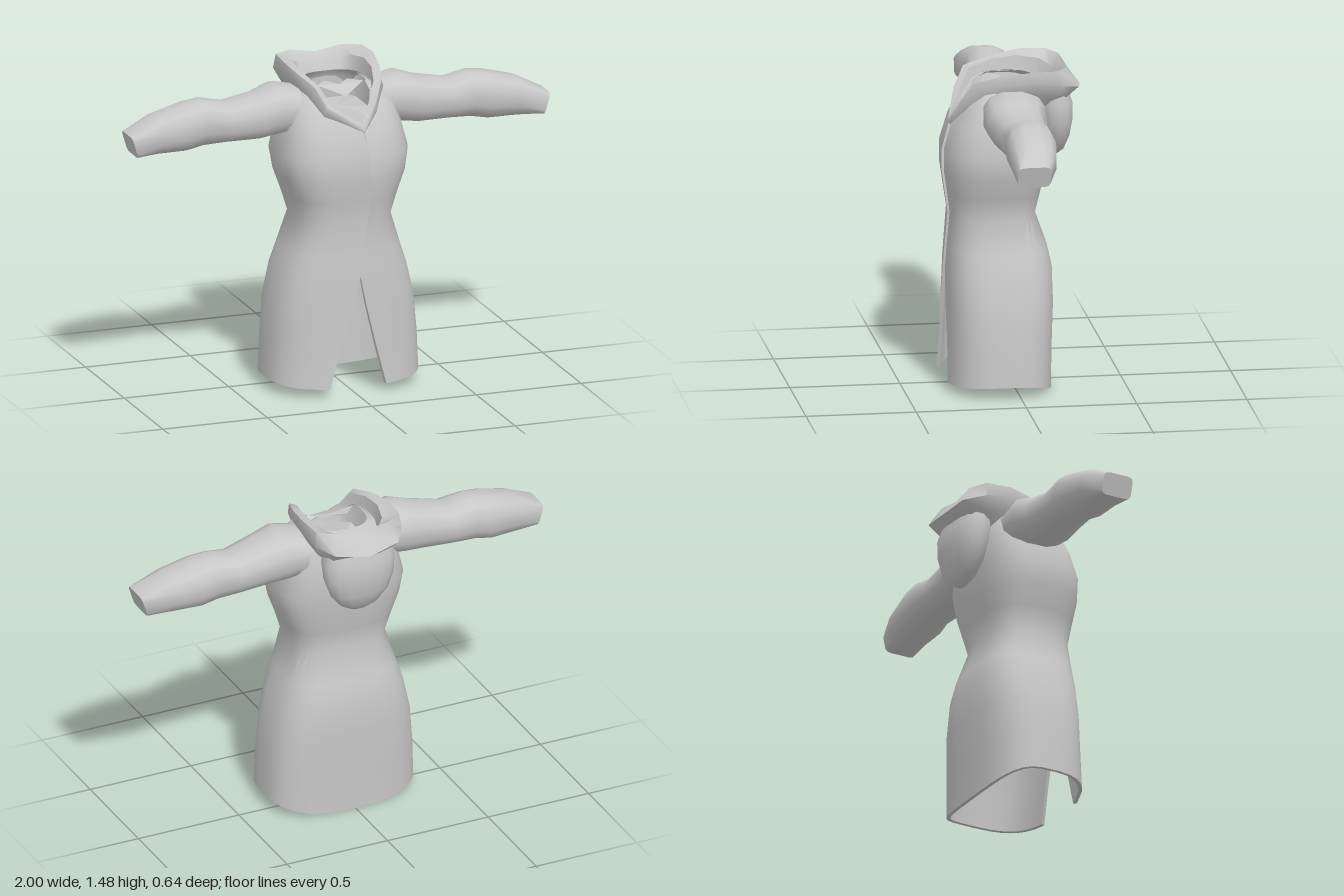
import * as THREE from 'three';
import { toCreasedNormals } from 'three/addons/utils/BufferGeometryUtils.js';

const cloth = new THREE.MeshStandardMaterial({ color: 0xc8c8c8, side: THREE.DoubleSide });
cloth.name = 'greyCloth';

// Skins a list of closed rings of [x, y, z]; optionally joins last to first or caps the ends.
function loft(name, rings, { loop = false, capStart = false, capEnd = false, crease = 0.8 } = {}) {
  const n = rings[0].length, index = [], pos = rings.flat(2);
  const last = loop ? rings.length : rings.length - 1;
  for (let i = 0; i < last; i++) {
    const k = (i + 1) % rings.length;
    for (let j = 0; j < n; j++) {
      const m = (j + 1) % n;
      const a = i * n + j, b = i * n + m, c = k * n + m, d = k * n + j;
      index.push(a, b, c, a, c, d);
    }
  }
  const cap = (i, flip) => {
    const ring = rings[i], c = pos.length / 3;
    pos.push(...[0, 1, 2].map(q => ring.reduce((s, p) => s + p[q], 0) / n));
    for (let j = 0; j < n; j++) {
      const a = i * n + j, b = i * n + (j + 1) % n;
      index.push(c, flip ? b : a, flip ? a : b);
    }
  };
  if (capStart) cap(0, true);
  if (capEnd) cap(rings.length - 1, false);
  const g = new THREE.BufferGeometry();
  g.setAttribute('position', new THREE.Float32BufferAttribute(pos, 3));
  g.setIndex(index);
  const mesh = new THREE.Mesh(toCreasedNormals(g, crease), cloth);
  mesh.name = name;
  return mesh;
}

const power = (v, p) => Math.sign(v) * Math.abs(v) ** p;

// Coat shell with thickness, open along the front edges.
function coatBody() {
  const P = 0.68, ZC = 0.05, COLS = 32, T = 0.016;
  // y, half width, front z, back z, left edge x, right edge x
  const rows = [
    [0.0, 0.357, 0.31, -0.168, 0.142, -0.132],
    [0.2, 0.35, 0.302, -0.172, 0.095, -0.08],
    [0.4, 0.334, 0.302, -0.18, 0.05, -0.025],
    [0.55, 0.3, 0.298, -0.177, 0.02, 0.018],
    [0.65, 0.267, 0.293, -0.155, 0.032, 0.032],
    [0.8, 0.222, 0.284, -0.102, 0.055, 0.055],
    [0.9, 0.252, 0.298, -0.125, 0.066, 0.066],
    [1.0, 0.288, 0.312, -0.143, 0.066, 0.066],
    [1.1, 0.305, 0.31, -0.158, 0.06, 0.06],
    [1.22, 0.275, 0.275, -0.16, 0.048, 0.042],
    [1.3, 0.25, 0.225, -0.15, 0.1, -0.09],
    [1.37, 0.205, 0.175, -0.13, 0.13, -0.13],
    [1.4, 0.145, 0.14, -0.11, 0.13, -0.13],
  ];
  const angle = (x, w) => Math.asin(power(x / w, 1 / P));
  const shell = rows.map(([y, w, zf, zb, eL, eR]) => {
    const a0 = angle(eL, w), a1 = Math.PI * 2 + angle(eR, w);
    const side = t => Array.from({ length: COLS + 1 }, (_, j) => {
      const a = a0 + (a1 - a0) * j / COLS, c = Math.cos(a), s = Math.sin(a);
      const depth = (c > 0 ? zf - ZC : ZC - zb) - t;
      // hem dips at the front and back; the overlapping edge stands proud
      const hem = 0.055 - (c > 0 ? 0.02 : 0.055) * c * c;
      const lip = j === COLS && y < 1.25 ? 0.01 : 0;
      return [(w - t) * power(s, P), y + hem * Math.max(0, 1 - y / 0.4), ZC + depth * power(c, P) + lip];
    });
    return [...side(0), ...side(T).reverse()];
  });
  // first ring closes the hem between outer and inner faces
  const hemRing = shell[0].map((_, j) => shell[0][shell[0].length - 1 - j]);
  return loft('coatBody', [hemRing.map((p, j) => j <= COLS ? p : shell[0][j]), ...shell], { crease: 0.75 });
}

function sleeve(side) {
  // x, bottom y, top y, back z, front z
  const rows = [
    [0.17, 1.2, 1.385, -0.11, 0.15],
    [0.29, 1.185, 1.41, -0.122, 0.168],
    [0.38, 1.172, 1.38, -0.1, 0.158],
    [0.53, 1.167, 1.348, -0.1, 0.128],
    [0.64, 1.16, 1.37, -0.1, 0.115],
    [0.72, 1.145, 1.36, -0.105, 0.125],
    [0.86, 1.146, 1.325, -0.086, 0.122],
    [0.985, 1.15, 1.25, -0.04, 0.11],
  ];
  const N = 12;
  const rings = rows.map(([x, y0, y1, z0, z1], i) => Array.from({ length: N }, (_, j) => {
    const a = side * (j + 0.5) / N * Math.PI * 2;
    const p = i === rows.length - 1 ? 0.35 : 0.8;
    const c = power(Math.cos(a), p), s = power(Math.sin(a), p);
    const slant = i === rows.length - 1 ? 0.015 * c : 0;
    return [side * (x + slant), (y0 + y1) / 2 + c * (y1 - y0) / 2, (z0 + z1) / 2 + s * (z1 - z0) / 2];
  }));
  return loft(side > 0 ? 'leftSleeve' : 'rightSleeve', rings, { capEnd: true });
}

// Collar and rolled rim of the lowered hood, from the front point round to the back.
// Each section: inner bottom, inner rim, top, outer roll, outer bottom.
const hoodHalf = [
  [[.045, 1.215, .245], [.045, 1.25, .265], [.045, 1.235, .288], [.045, 1.22, .29], [.045, 1.205, .275]],
  [[.09, 1.27, .19], [.085, 1.33, .222], [.115, 1.335, .24], [.125, 1.315, .235], [.125, 1.28, .215]],
  [[.12, 1.29, .13], [.13, 1.42, .168], [.16, 1.425, .19], [.175, 1.39, .17], [.165, 1.34, .14]],
  [[.13, 1.28, .04], [.16, 1.45, .06], [.195, 1.455, .07], [.205, 1.42, .05], [.185, 1.37, .04]],
  [[.13, 1.28, -.06], [.165, 1.46, -.05], [.215, 1.478, -.07], [.22, 1.43, -.08], [.195, 1.37, -.07]],
  [[.11, 1.27, -.13], [.14, 1.45, -.15], [.205, 1.477, -.19], [.215, 1.41, -.2], [.185, 1.345, -.16]],
  [[.08, 1.27, -.15], [.1, 1.43, -.19], [.125, 1.475, -.235], [.155, 1.39, -.288], [.14, 1.335, -.23]],
  [[0, 1.27, -.16], [0, 1.42, -.2], [0, 1.455, -.235], [0, 1.365, -.315], [0, 1.335, -.25]],
];
const hoodRings = [
  ...hoodHalf,
  ...hoodHalf.slice(1, -1).reverse().map(sec => sec.map(([x, y, z]) => [-x, y, z])),
];

function plate(name, points) {
  const c = [0, 1, 2].map(q => points.reduce((s, p) => s + p[q], 0) / points.length);
  const g = new THREE.BufferGeometry();
  g.setAttribute('position', new THREE.Float32BufferAttribute(
    points.flatMap((p, i) => [...c, ...p, ...points[(i + 1) % points.length]]), 3));
  g.computeVertexNormals();
  const mesh = new THREE.Mesh(g, cloth);
  mesh.name = name;
  return mesh;
}

// Bag of the hood hanging down the back.
function hoodPouch() {
  // y, half width, back z, front z
  const rows = [
    [1.05, 0.035, -0.212, -0.185], [1.08, 0.09, -0.24, -0.16], [1.14, 0.14, -0.262, -0.14],
    [1.22, 0.168, -0.276, -0.12], [1.3, 0.175, -0.275, -0.11], [1.38, 0.16, -0.25, -0.11],
  ];
  const rings = rows.map(([y, w, zb, zf]) => Array.from({ length: 16 }, (_, j) => {
    const a = j / 16 * Math.PI * 2;
    return [w * power(Math.sin(a), 0.8), y, (zb + zf) / 2 + (zf - zb) / 2 * power(Math.cos(a), 0.8)];
  }));
  return loft('hoodPouch', rings, { capStart: true, crease: 1 });
}

export function createModel() {
  const coat = new THREE.Group();
  coat.name = 'hoodedCoat';
  coat.add(coatBody(), sleeve(1), sleeve(-1));
  coat.add(loft('hoodRim', hoodRings, { loop: true, crease: 0.9 }), hoodPouch());
  // lining that closes the neck, with a small folded tab above it
  coat.add(plate('neckLining', hoodRings.map(sec => sec[0])));
  coat.add(plate('neckTab', [
    [0, 1.36, 0.165], [0.11, 1.4, 0.09], [0.055, 1.4, 0.035], [0, 1.39, 0.07],
    [-0.055, 1.4, 0.035], [-0.11, 1.4, 0.09],
  ]));
  return coat;
}
